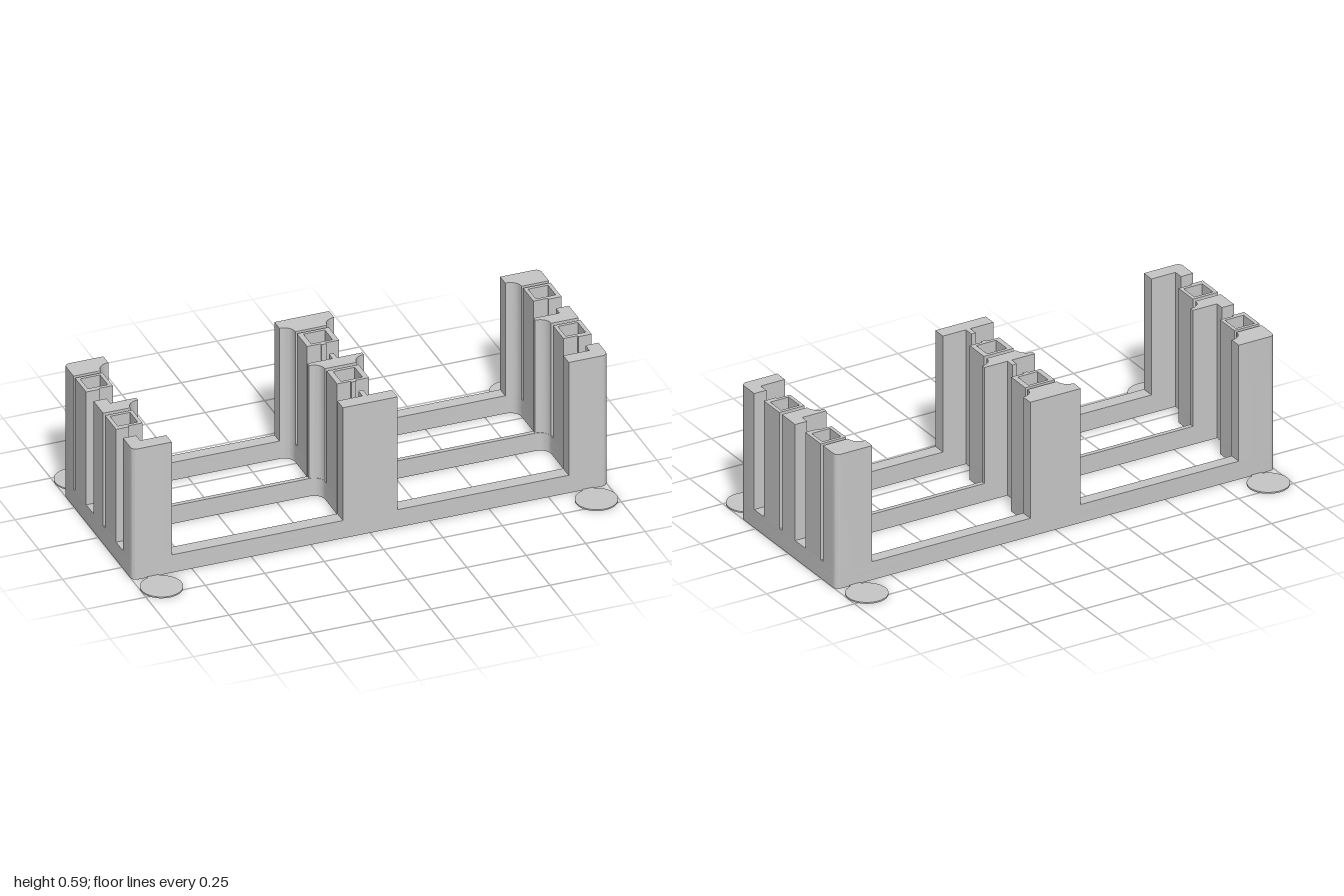
import * as THREE from 'three';
import { toCreasedNormals } from 'three/addons/utils/BufferGeometryUtils.js';

const BASE = 0.08, TOP = 0.589, ROW = 0.314, DEPTH = 0.36, CORNER = 0.022;
const ROWS = [0, ROW];
// Half-profile widths, measured inward from the outer face (side) or centre line (middle)
const SIDE = { stem: 0.055, bar: 0.165, tube: 0.115 };
const MIDDLE = { stem: 0.01, bar: 0.115, tube: 0.067 };

const grey = new THREE.MeshStandardMaterial({ color: 0xc8c8c8 });
grey.name = 'grey plastic';

// Plan outline (x, z), always wound anticlockwise
function toPath(points, Type = THREE.Shape) {
  const path = points.map(([x, z]) => new THREE.Vector2(x, -z));
  if (THREE.ShapeUtils.isClockWise(path)) path.reverse();
  return new Type(path);
}

// Extrude a plan outline upward from y0 to y1
function extrude(name, shape, y0, y1) {
  const geo = new THREE.ExtrudeGeometry(shape, { depth: y1 - y0, bevelEnabled: false, curveSegments: 16 });
  geo.rotateX(-Math.PI / 2);
  geo.translate(0, y0, 0);
  const mesh = new THREE.Mesh(toCreasedNormals(geo, 0.5), grey);
  mesh.name = name;
  return mesh;
}

// Points of a quarter turn about (cx, cz), starting at angle a0
function quarter(cx, cz, rx, rz, a0) {
  return Array.from({ length: 9 }, (_, i) => {
    const a = a0 + (i / 8) * Math.PI / 2;
    return [cx + rx * Math.cos(a), cz + rz * Math.sin(a)];
  });
}

// Concave fillet from the crossbar to the tube width, z0 is the bar's inner face
const fillet = (w, z0) =>
  quarter(w.bar, z0 + 0.045, w.bar - w.tube, 0.045, Math.PI).reverse();

// Window opening of one bay, left half; z values are for the back row
function bayWindow(row, mirror) {
  const side = [
    [-1 + SIDE.stem, -0.012], [-1 + SIDE.stem, -0.135], [-1 + SIDE.tube, -0.135],
    ...fillet(SIDE, -0.307).reverse().map(([u, z]) => [u - 1, z]),
  ];
  const middle = [
    ...fillet(MIDDLE, -0.307).map(([u, z]) => [-u, z]),
    [-MIDDLE.tube, -0.135], [-MIDDLE.stem, -0.135], [-MIDDLE.stem, -0.012],
  ];
  return toPath([...side, ...middle].map(([x, z]) => [x * mirror, z + row]), THREE.Path);
}

// Base plate with four windows and six screw holes
function baseLayer(name, y0, y1, holeRadius) {
  const x = 1 - CORNER, z = DEPTH - CORNER;
  const shape = toPath([
    ...quarter(x, z, CORNER, CORNER, 0),
    ...quarter(-x, z, CORNER, CORNER, Math.PI / 2),
    ...quarter(-x, -z, CORNER, CORNER, Math.PI),
    ...quarter(x, -z, CORNER, CORNER, Math.PI * 1.5),
  ]);
  for (const row of ROWS) {
    for (const m of [-1, 1]) shape.holes.push(bayWindow(row, m));
    for (const hx of [-0.94, 0, 0.94]) {
      shape.holes.push(new THREE.Path().absarc(hx, 0.193 - row, holeRadius, 0, Math.PI * 2));
    }
  }
  return extrude(name, shape, y0, y1);
}

// Inner edges of the three upright sections, ordered back to front
const edges = {
  backUpright: (w) => [[w.bar, -DEPTH], ...fillet(w, -0.307), [w.tube, -0.26]],
  centreUpright: (w) => [
    [w.stem, -0.05], [w.stem, -0.012], [w.bar, -0.012],
    ...fillet(w, -0.309 + ROW), [w.tube, 0.051],
  ],
  frontUpright: (w) => [[w.stem, 0.26], [w.stem, 0.302], [w.bar, 0.302], [w.bar, DEPTH]],
};

// Close an inner edge with the outer wall, rounding the outside corner
function sideSection(name, points) {
  const z0 = points[0][1], z1 = points[points.length - 1][1];
  const c = CORNER;
  const front = name === 'frontUpright' ? quarter(c, z1 - c, c, c, Math.PI / 2) : [[0, z1]];
  const back = name === 'backUpright' ? quarter(c, z0 + c, c, c, Math.PI) : [[0, z0]];
  return [...points, ...front, ...back];
}

function addUprights(group, place, isMiddle) {
  const w = isMiddle ? MIDDLE : SIDE;
  // place: -1 and 1 are the ends, 0 is the middle
  const toX = (u) => (isMiddle ? u : place * (1 - u));
  for (const [name, edge] of Object.entries(edges)) {
    const pts = edge(w);
    const outline = isMiddle
      ? [...pts, ...pts.map(([u, z]) => [-u, z]).reverse()]
      : sideSection(name, pts);
    group.add(extrude(name, toPath(outline.map(([u, z]) => [toX(u), z])), BASE, TOP));
  }

  // Hollow square screw tubes with a short front web
  for (const row of ROWS) {
    const za = -0.244 + row, zb = -0.135 + row, zc = -0.127 + row;
    const outer = isMiddle
      ? [[-w.tube, za], [w.tube, za], [w.tube, zb], [w.stem, zb], [w.stem, zc],
        [-w.stem, zc], [-w.stem, zb], [-w.tube, zb]]
      : [[0, za], [w.tube, za], [w.tube, zb], [w.stem, zb], [w.stem, zc], [0, zc]];
    const [ua, ub] = isMiddle ? [-0.045, 0.045] : [0.016, 0.1];
    const inner = [[ua, za + 0.014], [ub, za + 0.014], [ub, zb - 0.014], [ua, zb - 0.014]];
    const shape = toPath(outer.map(([u, z]) => [toX(u), z]));
    shape.holes.push(toPath(inner.map(([u, z]) => [toX(u), z]), THREE.Path));
    group.add(extrude('screwTube', shape, BASE, TOP));
  }
}

export function createModel() {
  const model = new THREE.Group();
  model.name = 'slottedRack';

  // Base, with wider screw recesses underneath
  model.add(baseLayer('baseUnderside', 0, 0.05, 0.031));
  model.add(baseLayer('baseTop', 0.05, BASE, 0.021));

  // Three rows of uprights
  for (const place of [-1, 0, 1]) {
    const group = new THREE.Group();
    group.name = ['leftEndUprights', 'middleUprights', 'rightEndUprights'][1 - place];
    addUprights(group, place, place === 0);
    model.add(group);
  }

  // Thin corner discs with connecting tabs
  for (const sx of [-1, 1]) {
    for (const sz of [-1, 1]) {
      const disc = new THREE.Mesh(new THREE.CylinderGeometry(0.085, 0.085, 0.006, 40), grey);
      disc.name = 'cornerDisc';
      disc.position.set(sx * 0.915, 0.003, sz * 0.452);
      const tab = new THREE.Mesh(new THREE.BoxGeometry(0.05, 0.004, 0.03), grey);
      tab.name = 'discTab';
      tab.position.set(sx * 0.915, 0.002, sz * 0.37);
      model.add(disc, tab);
    }
  }
  return model;
}
